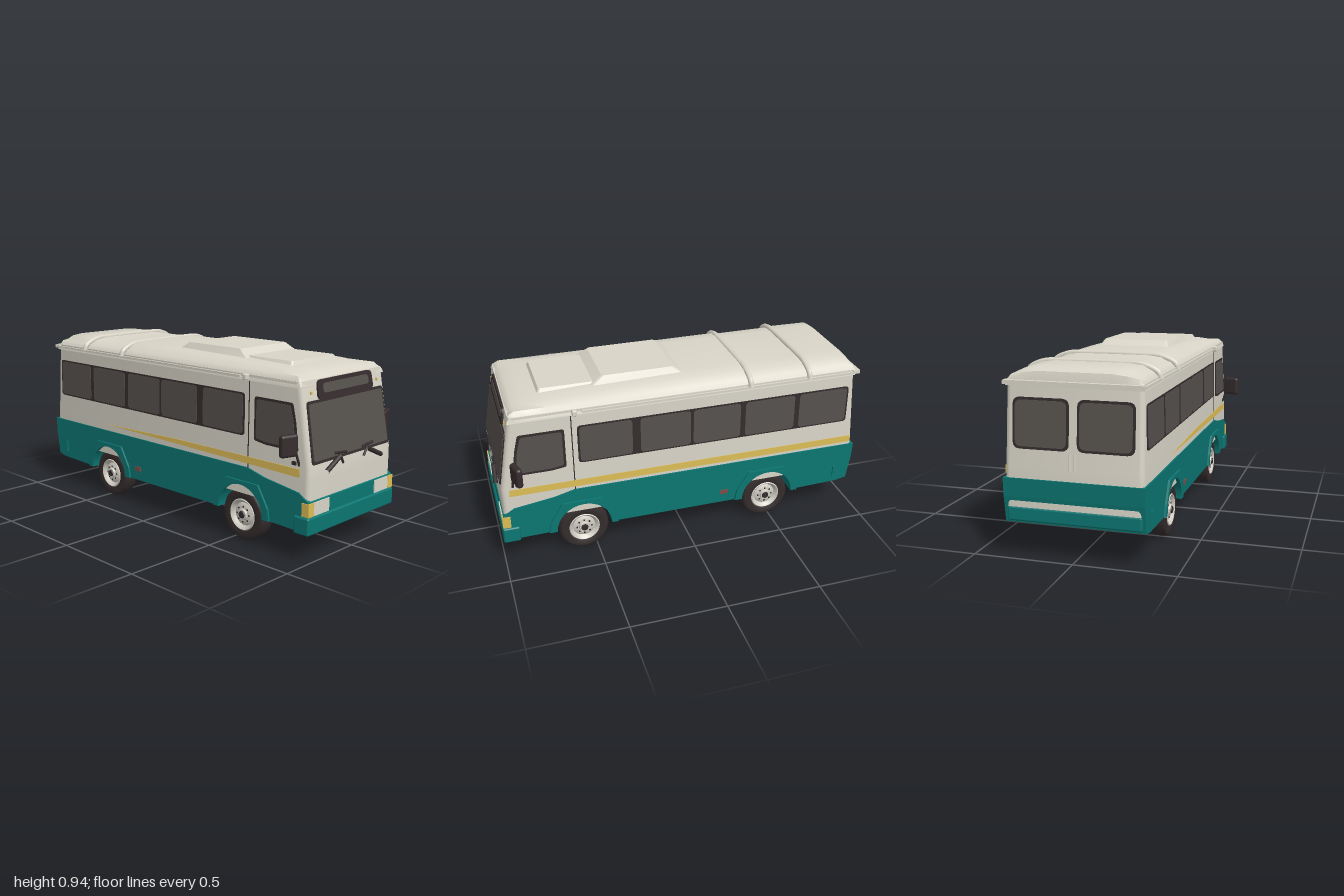
import * as THREE from 'three';
import { toCreasedNormals } from 'three/addons/utils/BufferGeometryUtils.js';
import { RoundedBoxGeometry } from 'three/addons/geometries/RoundedBoxGeometry.js';

const mat = (name, color) => Object.assign(new THREE.MeshStandardMaterial({ color }), { name });

export function createModel() {
  const bus = new THREE.Group();
  bus.name = 'minibus';
  const cream = mat('cream paint', 0xd9d5c8), teal = mat('teal paint', 0x0b7672);
  const glass = mat('tinted glass', 0x56514d), dark = mat('dark rubber', 0x352c2d);
  const yellow = mat('yellow', 0xddbd58), hubGrey = mat('wheel grey', 0xcfccc2);
  const red = mat('marker red', 0x7a4f48);

  const add = (name, geo, m, x = 0, y = 0, z = 0, parent = bus) => {
    const mesh = new THREE.Mesh(geo, m);
    mesh.name = name;
    mesh.position.set(x, y, z);
    parent.add(mesh);
    return mesh;
  };
  const box = (name, m, x0, x1, y0, y1, z0, z1) =>
    add(name, new THREE.BoxGeometry(x1 - x0, y1 - y0, z1 - z0), m, (x0 + x1) / 2, (y0 + y1) / 2, (z0 + z1) / 2);
  const bar = (name, m, a, b, r) => {
    const A = new THREE.Vector3(...a), B = new THREE.Vector3(...b);
    return add(name, new THREE.TubeGeometry(new THREE.LineCurve3(A, B), 1, r, 8), m);
  };

  // Skin over closed cross-sections, with capped ends
  const loft = (rings, crease = 0.5) => {
    const n = rings[0].length, pos = rings.flat(2), idx = [];
    for (let i = 0; i < rings.length - 1; i++) for (let j = 0; j < n; j++) {
      const a = i * n + j, b = i * n + (j + 1) % n;
      idx.push(a, b, b + n, a, b + n, a + n);
    }
    const e = (rings.length - 1) * n;
    for (let j = 1; j < n - 1; j++) idx.push(0, j + 1, j, e, e + j, e + j + 1);
    const g = new THREE.BufferGeometry();
    g.setAttribute('position', new THREE.Float32BufferAttribute(pos, 3));
    g.setIndex(idx);
    return toCreasedNormals(g, crease);
  };
  // Horizontal rounded rectangle, counter-clockwise from above
  const rectRing = (y, x0, x1, hw, r) => {
    const ring = [];
    [[x1 - r, -hw + r], [x0 + r, -hw + r], [x0 + r, hw - r], [x1 - r, hw - r]].forEach(([cx, cz], q) => {
      for (let k = 0; k <= 4; k++) {
        const a = (q + k / 4) * Math.PI / 2;
        ring.push([cx + r * Math.cos(a), y, cz - r * Math.sin(a)]);
      }
    });
    return ring;
  };
  // Polygon with softened corners
  const rounded = (pts, r) => {
    const s = new THREE.Shape(), P = pts.map(p => new THREE.Vector2(...p));
    P.forEach((p, i) => {
      const a = P[(i + P.length - 1) % P.length], b = P[(i + 1) % P.length];
      const u = p.clone().add(a.clone().sub(p).setLength(r)), v = p.clone().add(b.clone().sub(p).setLength(r));
      i ? s.lineTo(u.x, u.y) : s.moveTo(u.x, u.y);
      s.quadraticCurveTo(p.x, p.y, v.x, v.y);
    });
    return s;
  };
  const rect = (a, b, c, d) => [[a, c], [b, c], [b, d], [a, d]];

  // Wall positions at a given height
  const sideZ = y => 0.338 - Math.max(0, y - 0.39) * 0.0174;
  const frontX = y => 0.985 - Math.max(0, y - 0.45) * 0.175;
  const rearX = y => -0.982 + Math.max(0, y - 0.39) * 0.065;

  // Thin plates that follow the sloping walls
  const slab = (pts, r, t) => new THREE.ExtrudeGeometry(rounded(pts, r), { depth: 2 * t, bevelEnabled: false, curveSegments: 4 }).translate(0, 0, -t);
  const lean = (g, axis, rule) => {
    const p = g.attributes.position;
    for (let i = 0; i < p.count; i++) p.setComponent(i, axis, p.getComponent(i, axis) + rule(p.getY(i)));
    return toCreasedNormals(g, 0.5);
  };
  const sidePlate = (name, m, pts, r, t, s) => add(name, lean(slab(pts, r, t), 2, y => s * sideZ(y)), m);
  const endPlate = (name, m, pts, r, t, rule) => add(name, lean(slab(pts, r, t).rotateY(Math.PI / 2), 0, rule), m);

  // Upper body shell
  add('upperBody', loft([0.25, 0.39, 0.45, 0.85].map(y => rectRing(y, rearX(y), frontX(y), sideZ(y), 0.025))), cream);

  // Roof, a shallow crown drawn along the length
  const roofLine = [[-0.955, 0.85], [-0.945, 0.89], [-0.92, 0.907], [-0.71, 0.91], [-0.66, 0.903], [-0.38, 0.903], [-0.33, 0.911],
    [0, 0.91], [0.4, 0.903], [0.72, 0.893], [0.82, 0.884], [0.88, 0.872], [0.908, 0.855], [0.92, 0.83]];
  add('roof', loft(roofLine.map(([x, h]) => {
    const half = [[0.334, 0.82], [0.328, 0.847], [0.305, 0.872], [0.25, h - 0.008], [0.18, h]];
    const pts = half.map(([z, y]) => [x, Math.min(y, h), z]);
    return [...pts.map(([a, b, c]) => [a, b, -c]), ...pts.reverse()];
  }), 0.7), cream);
  // Raised roof pod and front hatch
  const pod = (name, x0, x1, y0, y1, hw, run) =>
    add(name, loft([rectRing(y0, x0, x1, hw, 0.015), rectRing(y1, x0 + run, x1 - run, hw - 0.02, 0.015)], 0.3), cream);
  pod('roofPod', -0.03, 0.47, 0.9, 0.94, 0.2, 0.06);
  pod('roofHatch', 0.4, 0.75, 0.88, 0.91, 0.19, 0.015);
  // Roof hoops
  for (const x of [-0.685, -0.35]) {
    const path = new THREE.CatmullRomCurve3([[0.335, 0.835], [0.325, 0.865], [0.25, 0.9], [0.15, 0.905], [-0.15, 0.905], [-0.25, 0.9], [-0.325, 0.865], [-0.335, 0.835]]
      .map(([z, y]) => new THREE.Vector3(x, y, z)));
    add('roofHoop', new THREE.TubeGeometry(path, 40, 0.015, 8), cream);
  }
  box('rearGutter', cream, -0.98, -0.94, 0.828, 0.848, -0.337, 0.337);

  // Lower body: solid core plus outer skirts with wheel arches
  const wheelXs = [-0.47, 0.57];
  const skirt = arches => {
    const s = new THREE.Shape();
    [[0.99, 0.145], [0.99, 0.295], [0.93, 0.333], [0.72, 0.362], [0.61, 0.39], [-0.99, 0.39], [-0.985, 0.3], [-0.965, 0.17], [-0.9, 0.158]]
      .forEach(([x, y], i) => i ? s.lineTo(x, y) : s.moveTo(x, y));
    if (arches) for (const x of wheelXs) {
      s.lineTo(x - 0.148, 0.15);
      s.absarc(x, 0.15, 0.148, Math.PI, 0, true);
    }
    return s;
  };
  const extrude = (s, z0, z1) => new THREE.ExtrudeGeometry(s, { depth: z1 - z0, bevelEnabled: false, curveSegments: 20 }).translate(0, 0, z0);
  add('lowerBodyCore', extrude(skirt(false), -0.2, 0.2), teal);
  add('leftSkirt', extrude(skirt(true), 0.2, 0.345), teal);
  add('rightSkirt', extrude(skirt(true), -0.345, -0.2), teal);

  // Bumpers and front lamps
  add('frontBumper', new RoundedBoxGeometry(0.09, 0.088, 0.71, 3, 0.01), teal, 0.955, 0.178, 0);
  add('rearBumper', new RoundedBoxGeometry(0.04, 0.07, 0.66, 3, 0.01), teal, -0.962, 0.215, 0);
  for (const s of [1, -1]) {
    add('headlight', new THREE.BoxGeometry(0.008, 0.066, 0.118), cream, 0.991, 0.258, s * 0.248);
    add('indicator', new THREE.BoxGeometry(0.042, 0.066, 0.042), yellow, 0.975, 0.258, s * 0.328);
    add('roofMarkerLamp', new THREE.BoxGeometry(0.012, 0.014, 0.012), yellow, frontX(0.793), 0.793, s * 0.265);
  }

  // Windscreen and destination panel
  const trapezoid = (b, t, y0, y1) => [[-b, y0], [b, y0], [t, y1], [-t, y1]];
  endPlate('windscreenFrame', dark, trapezoid(0.314, 0.306, 0.468, 0.757), 0.015, 0.004, frontX);
  endPlate('windscreen', glass, trapezoid(0.302, 0.295, 0.482, 0.745), 0.012, 0.007, frontX);
  endPlate('headPanelFrame', dark, trapezoid(0.222, 0.216, 0.757, 0.847), 0.025, 0.007, y => frontX(y) + 0.003);
  endPlate('headPanelGlass', glass, trapezoid(0.185, 0.18, 0.785, 0.83), 0.018, 0.009, y => frontX(y) + 0.004);

  for (const s of [1, -1]) {
    // Rear windows and door handle
    endPlate('rearWindowFrame', dark, rect(Math.min(s * 0.02, s * 0.295), Math.max(s * 0.02, s * 0.295), 0.53, 0.77), 0.035, 0.004, rearX);
    endPlate('rearWindow', glass, rect(Math.min(s * 0.032, s * 0.283), Math.max(s * 0.032, s * 0.283), 0.542, 0.758), 0.03, 0.007, rearX);
    bar('rearHandle', cream, [-0.985, 0.44, s * 0.012], [-0.982, 0.52, s * 0.012], 0.006);

    // Side windows
    sidePlate('sideWindowFrame', dark, rect(-0.925, 0.58, 0.545, 0.757), 0.02, 0.004, s);
    [[-0.915, -0.636], [-0.608, -0.325], [-0.297, -0.035], [-0.02, 0.252], [0.295, 0.57]]
      .forEach(([a, b]) => sidePlate('sideWindow', glass, rect(a, b, 0.553, 0.749), 0.02, 0.006, s));
    sidePlate('cabWindowFrame', dark, [[0.645, 0.535], [0.645, 0.75], [0.878, 0.75], [0.9, 0.66], [0.918, 0.525], [0.72, 0.525]].reverse(), 0.012, 0.004, s);
    sidePlate('cabWindow', glass, [[0.658, 0.548], [0.658, 0.738], [0.866, 0.738], [0.887, 0.66], [0.903, 0.538], [0.72, 0.538]].reverse(), 0.01, 0.006, s);
    sidePlate('doorSeam', dark, rect(0.605, 0.61, 0.39, 0.82), 0.001, 0.002, s);
    sidePlate('doorHandle', dark, rect(0.885, 0.91, 0.46, 0.478), 0.004, 0.006, s);

    // Waist stripe, tapering on the left side
    sidePlate('waistStripe', yellow, s > 0 ? [[-0.5, 0.426], [0.93, 0.405], [0.93, 0.445], [0.1, 0.443]] : rect(-0.965, 0.945, 0.407, 0.444), 0.001, 0.003, s);

    // Skirt details
    add('sideMarker', new THREE.BoxGeometry(0.045, 0.025, 0.008), red, -0.215, 0.215, s * 0.346);
    add('rearSideSlot', new THREE.BoxGeometry(0.02, 0.065, 0.01), teal, -0.885, 0.228, s * 0.348);
    box('roofGutter', cream, -0.975, 0.55, 0.83, 0.842, s * 0.334 - 0.007, s * 0.334 + 0.007);
    add('roofKnob', new RoundedBoxGeometry(0.024, 0.03, 0.03, 2, 0.006), cream, 0.59, 0.838, s * 0.34);

    // Mirror on its arm
    const mirror = add('wingMirror', new RoundedBoxGeometry(0.034, 0.108, 0.094, 3, 0.015), dark, 0.905, 0.563, s * 0.394);
    mirror.rotation.y = -s * 0.3;
    bar('mirrorArm', dark, [0.925, 0.46, s * 0.335], [0.918, 0.54, s * 0.36], 0.006);

    // Wipers
    bar('wiperArm', dark, [1.0, 0.425, s * 0.225], [0.992, 0.478, s * 0.11], 0.012);
    bar('wiperBlade', dark, [0.99, 0.5, s * 0.16], [0.99, 0.49, s * 0.06], 0.007);
    bar('wiperLink', dark, [0.992, 0.485, s * 0.11], [0.992, 0.44, s * 0.085], 0.006);

    for (const x of wheelXs) {
      // Flared arch around each wheel
      const flare = new THREE.Shape();
      flare.moveTo(x + 0.19, 0.15);
      [[0.18, 0.21], [0.115, 0.318], [-0.1, 0.318], [-0.165, 0.21], [-0.185, 0.15]].forEach(([a, b]) => flare.lineTo(x + a, b));
      flare.lineTo(x - 0.148, 0.15);
      flare.absarc(x, 0.15, 0.148, Math.PI, 0, true);
      add('archFlare', extrude(flare, s > 0 ? 0.34 : -0.356, s > 0 ? 0.356 : -0.34), teal);

      // Wheel
      const wheel = new THREE.Group();
      wheel.name = 'wheel';
      wheel.position.set(x, 0.136, s * 0.292);
      wheel.rotation.x = s * Math.PI / 2;
      bus.add(wheel);
      const tyre = [[0.07, -0.04], [0.12, -0.042], [0.132, -0.032], [0.136, 0], [0.132, 0.032], [0.12, 0.042], [0.08, 0.042], [0.075, 0.025]];
      add('tyre', new THREE.LatheGeometry(tyre.map(p => new THREE.Vector2(...p)), 40), dark, 0, 0, 0, wheel);
      const rim = [[0.001, -0.03], [0.085, -0.03], [0.085, 0.04], [0.078, 0.046], [0.07, 0.04], [0.06, 0.026], [0.045, 0.036], [0.03, 0.036], [0.026, 0.046], [0.001, 0.046]];
      add('rim', toCreasedNormals(new THREE.LatheGeometry(rim.map(p => new THREE.Vector2(...p)), 32), 0.6), hubGrey, 0, 0, 0, wheel);
      add('hubCap', new THREE.CylinderGeometry(0.017, 0.02, 0.008, 16), dark, 0, 0.048, 0, wheel);
      for (let k = 0; k < 8; k++) {
        const a = k * Math.PI / 4;
        add('rimHole', new THREE.CylinderGeometry(0.005, 0.005, 0.004, 8), dark, 0.04 * Math.cos(a), 0.036, 0.04 * Math.sin(a), wheel);
      }
    }
  }
  return bus;
}
